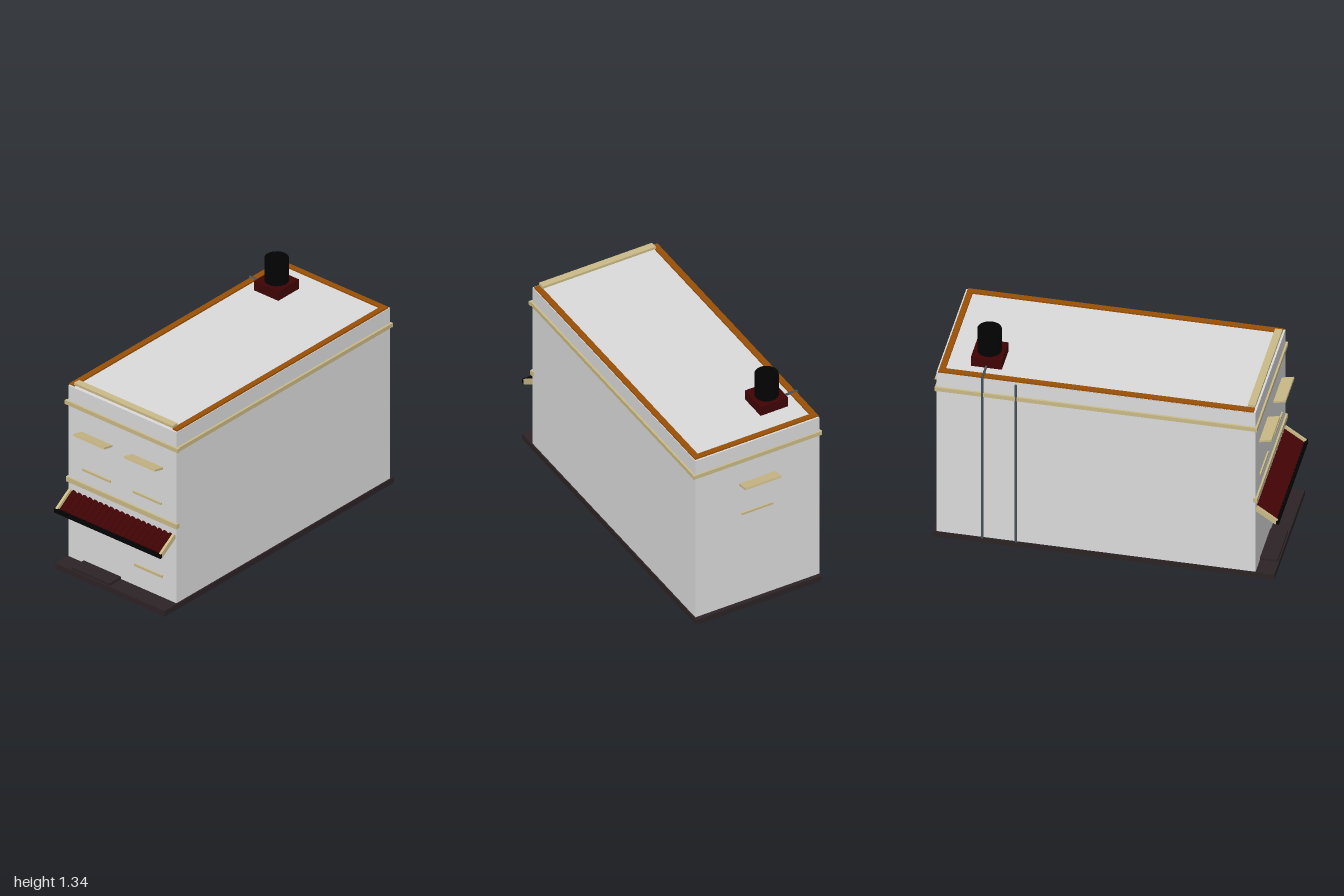
import * as THREE from 'three';

const mat = (name, color) => {
  const m = new THREE.MeshStandardMaterial({ color });
  m.name = name;
  return m;
};

export function createModel() {
  const root = new THREE.Group();
  root.name = 'townBuilding';
  const wall = mat('wallGrey', 0xdbdbdb);
  const trim = mat('trimTan', 0xcaba87);
  const rust = mat('rustBrown', 0x994f05);
  const red = mat('darkRed', 0x400304);
  const black = mat('black', 0x020202);
  const stone = mat('foundationDark', 0x2c2325);
  const slate = mat('pipeSlate', 0x46535c);

  const add = (name, geo, material, parent = root) => {
    const mesh = new THREE.Mesh(geo, material);
    mesh.name = name;
    parent.add(mesh);
    return mesh;
  };
  // Box given by its limits on each axis
  const box = (name, m, x0, x1, y0, y1, z0, z1, parent = root) => {
    const b = add(name, new THREE.BoxGeometry(x1 - x0, y1 - y0, z1 - z0), m, parent);
    b.position.set((x0 + x1) / 2, (y0 + y1) / 2, (z0 + z1) / 2);
    return b;
  };

  // Foundation, front step and main block
  box('foundation', stone, -0.4, 0.4, 0.002, 0.038, -0.955, 0.978);
  box('frontStep', stone, -0.283, -0.01, 0.038, 0.053, 0.87, 0.97);
  box('walls', wall, -0.396, 0.393, 0.038, 1.13, -0.93, 0.871);

  // Pale floor panel showing on the underside
  const panel = new THREE.Shape([[0.392, -0.93], [0.232, 0.618], [-0.392, 0.07], [-0.392, -0.93]]
    .map(([x, z]) => new THREE.Vector2(x, z)));
  const floor = add('floorPanel', new THREE.ExtrudeGeometry(panel, { depth: 0.006, bevelEnabled: false }), wall);
  floor.rotation.x = Math.PI / 2;
  floor.position.y = 0.006;

  // Cornice wrapping all four walls
  box('corniceFront', trim, -0.413, 0.411, 1.009, 1.034, 0.865, 0.882);
  box('corniceBack', trim, -0.41, 0.408, 1.009, 1.034, -0.938, -0.925);
  box('corniceRight', trim, -0.408, -0.39, 1.009, 1.034, -0.93, 0.87);
  box('corniceLeft', trim, 0.386, 0.406, 1.009, 1.034, -0.93, 0.87);
  box('frontBand', trim, -0.405, 0.402, 0.518, 0.548, 0.857, 0.882);

  // Roof edging, with a beam held just clear of the roof at the front
  box('roofEdgeRight', rust, -0.396, -0.36, 1.125, 1.139, -0.915, 0.86);
  box('roofEdgeLeft', rust, 0.354, 0.389, 1.125, 1.139, -0.915, 0.86);
  box('roofEdgeBack', rust, -0.396, 0.389, 1.125, 1.1385, -0.92, -0.886);
  box('roofFrontBeam', trim, -0.362, 0.358, 1.14, 1.155, 0.82, 0.862);

  // Window hoods tilting upwards, each with a sill
  const hood = (name, x, z, side, y, width, tilt) => {
    const h = add(name, new THREE.BoxGeometry(width, 0.012, 0.073), trim);
    h.position.set(x, y, z + side * 0.034);
    h.rotation.x = -side * tilt;
  };
  hood('windowHood', -0.187, 0.871, 1, 0.872, 0.226, 0.22);
  hood('windowHood', 0.184, 0.871, 1, 0.872, 0.226, 0.22);
  hood('backWindowHood', 0, -0.93, -1, 0.865, 0.23, 0.2);
  box('windowSill', trim, -0.29, -0.083, 0.629, 0.642, 0.865, 0.88);
  box('windowSill', trim, 0.08, 0.287, 0.629, 0.642, 0.865, 0.88);
  box('shopSill', trim, 0.09, 0.294, 0.165, 0.18, 0.865, 0.88);
  box('shopLintel', trim, 0.09, 0.294, 0.384, 0.396, 0.865, 0.88);
  box('backWindowSill', trim, -0.1, 0.1, 0.644, 0.657, -0.938, -0.925);

  // Sloping awning: ridged sheet on a black board between two rails
  const awning = new THREE.Group();
  awning.name = 'awning';
  awning.position.set(0, 0.467, 0.868);
  awning.rotation.x = 0.6;
  root.add(awning);
  const ridges = 19, edge = 0.371, pitch = (2 * edge) / ridges;
  const profile = new THREE.Shape();
  profile.moveTo(-edge, -0.006);
  for (let i = 0; i < ridges; i++) {
    profile.lineTo(-edge + i * pitch, -0.002);
    profile.lineTo(-edge + (i + 0.5) * pitch, 0.014);
  }
  profile.lineTo(edge, -0.002);
  profile.lineTo(edge, -0.006);
  add('ridgedSheet', new THREE.ExtrudeGeometry(profile, { depth: 0.143, bevelEnabled: false }), red, awning);
  box('awningBoard', black, -edge, edge, -0.013, -0.006, 0, 0.145, awning);
  for (const x of [-0.379, 0.377]) box('awningRail', trim, x - 0.008, x + 0.008, -0.014, 0.015, 0, 0.146, awning);
  box('awningFascia', black, -0.389, 0.387, 0.376, 0.4, 0.984, 1);

  // Chimney
  box('chimneyBase', red, -0.298, -0.122, 1.12, 1.19, -0.757, -0.582);
  add('chimneyStack', new THREE.CylinderGeometry(0.068, 0.068, 0.15, 20), black).position.set(-0.21, 1.26, -0.67);

  // Drainpipes on the right wall, one running on to the chimney
  const pipe = (name, length) => add(name, new THREE.CylinderGeometry(0.007, 0.007, length, 8), slate);
  for (const [z, top] of [[-0.67, 1.138], [-0.48, 1.115]]) {
    pipe('drainPipe', top - 0.038).position.set(-0.403, (top + 0.038) / 2, z);
  }
  const link = pipe('chimneyPipe', 0.112);
  link.position.set(-0.349, 1.138, -0.67);
  link.rotation.z = Math.PI / 2;

  return root;
}
